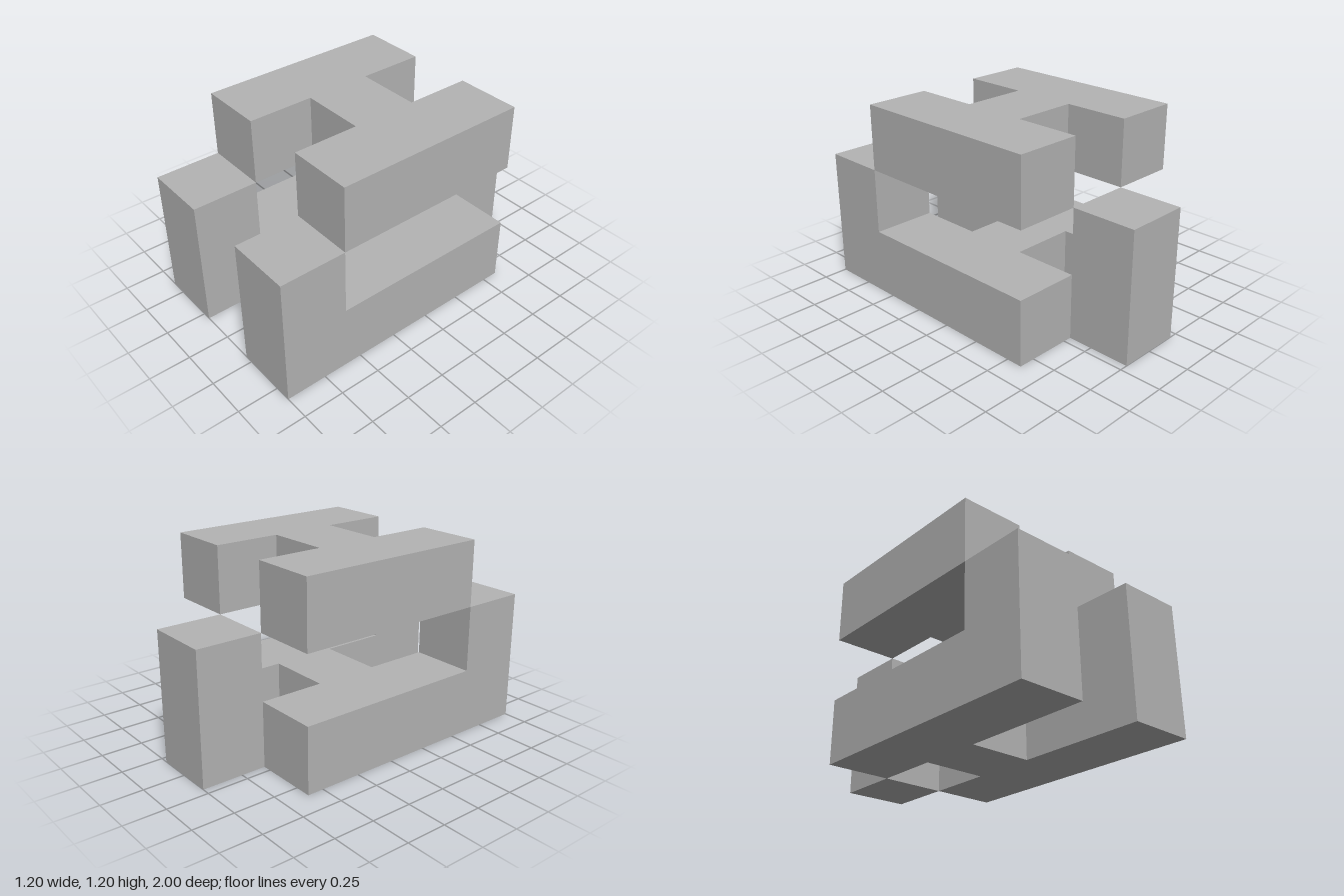
import * as THREE from 'three';

const U = 0.4; // edge of one cube unit

// Turns corner pairs given in units into a shape
function unitShape(points) {
  return new THREE.Shape(points.map(([a, b]) => new THREE.Vector2(a * U, b * U)));
}

function extrudeUnit(points) {
  return new THREE.ExtrudeGeometry(unitShape(points), { depth: U, bevelEnabled: false });
}

export function createModel() {
  const model = new THREE.Group();
  model.name = 'interlockingBlocks';

  const grey = new THREE.MeshStandardMaterial({ color: 0xb3b3b3 });
  grey.name = 'grey';

  function add(name, geometry, x = 0, y = 0, z = 0) {
    const mesh = new THREE.Mesh(geometry, grey);
    mesh.name = name;
    mesh.position.set(x, y, z);
    model.add(mesh);
    return mesh;
  }

  // Lower frame: two L-shaped arms, each with a raised front end
  const armProfile = [[-2.5, 0], [1.5, 0], [1.5, 1], [-1.5, 1], [-1.5, 2], [-2.5, 2]];
  const arm = extrudeUnit(armProfile);
  arm.rotateY(Math.PI / 2); // profile runs along -z, thickness along +x
  add('lowerArmLeft', arm, U / 2);
  add('lowerArmRight', arm, -1.5 * U);

  // Bar joining the two lower arms
  add('lowerCrossbar', new THREE.BoxGeometry(U, U, U), 0, U / 2, 0);

  // Upright at the back, touching the arms along its edges
  add('rearPost', new THREE.BoxGeometry(U, 2 * U, U), 0, U, -2 * U);

  // H-shaped top slab, lying flat
  const slab = extrudeUnit([
    [-1.5, -1.5], [-0.5, -1.5], [-0.5, -0.5], [0.5, -0.5], [0.5, -1.5], [1.5, -1.5],
    [1.5, 1.5], [0.5, 1.5], [0.5, 0.5], [-0.5, 0.5], [-0.5, 1.5], [-1.5, 1.5],
  ]);
  slab.rotateX(-Math.PI / 2);
  add('upperSlab', slab, 0, 2 * U, 0);

  return model;
}
